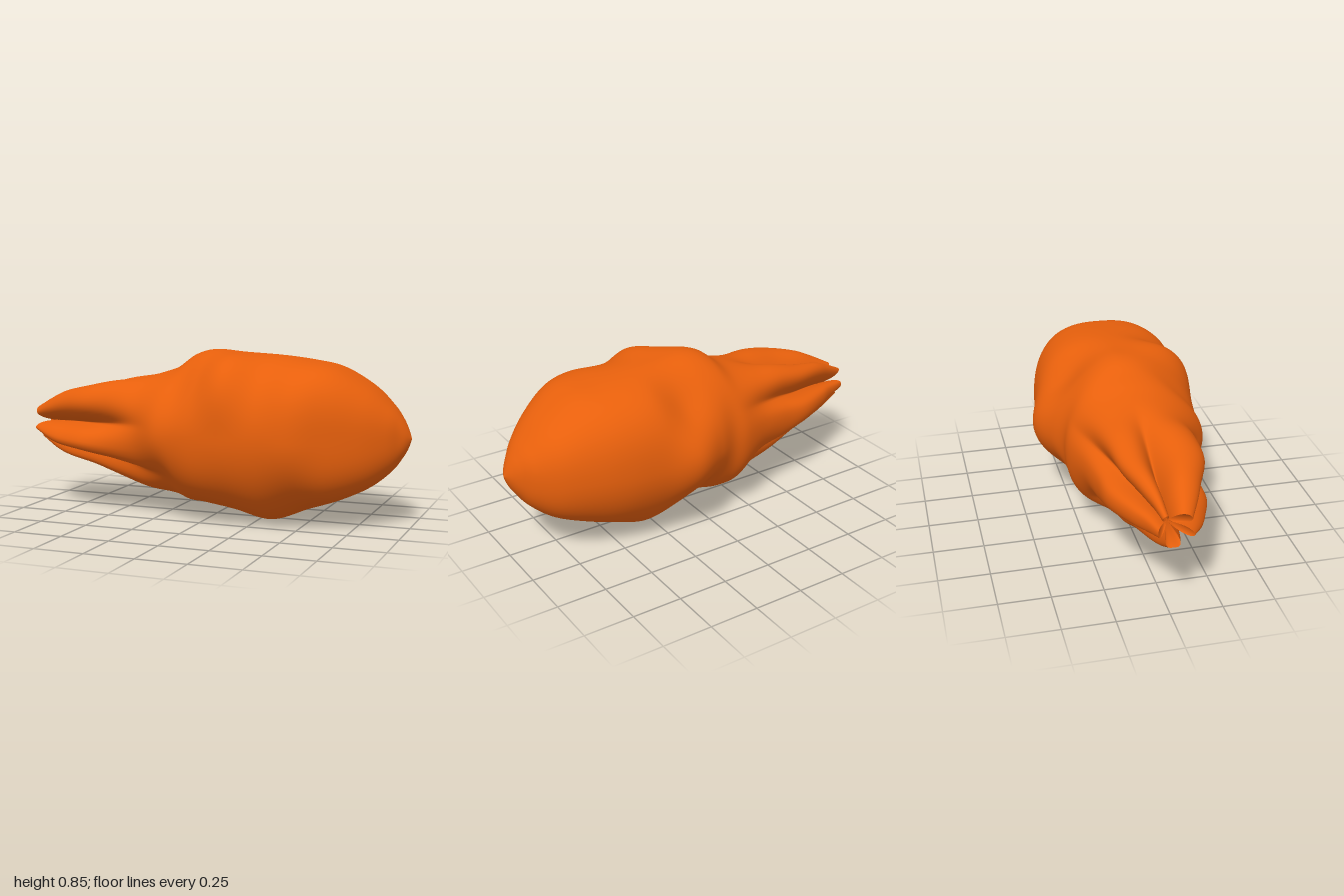
import * as THREE from 'three';

// Outline stations from nose to tail: x, then reach up, down, front (+z) and back (-z) of the axis
const STATIONS = [
  [1.0, 0, 0, 0, 0],
  [0.98, 0.05, 0.055, 0.045, 0.05],
  [0.95, 0.1, 0.105, 0.085, 0.1],
  [0.9, 0.16, 0.17, 0.15, 0.17],
  [0.8, 0.25, 0.25, 0.24, 0.255],
  [0.65, 0.335, 0.32, 0.335, 0.32],
  [0.5, 0.365, 0.375, 0.405, 0.36],
  [0.32, 0.385, 0.44, 0.4, 0.385],
  [0.15, 0.395, 0.4, 0.405, 0.42],
  [0.0, 0.405, 0.37, 0.395, 0.36],
  [-0.1, 0.38, 0.37, 0.385, 0.315],
  [-0.2, 0.31, 0.345, 0.38, 0.31],
  [-0.35, 0.265, 0.32, 0.3, 0.26],
  [-0.5, 0.235, 0.26, 0.265, 0.225],
  [-0.65, 0.2, 0.195, 0.25, 0.205],
  [-0.8, 0.17, 0.16, 0.19, 0.145],
  [-0.9, 0.13, 0.13, 0.15, 0.095],
  [-1.0, 0.08, 0.08, 0.1, 0.06],
];
// Swellings and hollows at the same stations: upper front, upper back, lower back, lower front
const SWELLS = [
  [0, 0, 0, 0],
  [0, 0, 0, 0],
  [0.005, 0.005, 0.005, 0.005],
  [0.01, 0.01, 0.01, 0.01],
  [0.02, 0.015, 0.01, 0.02],
  [0.035, 0.015, 0.005, 0.025],
  [0.03, 0.02, 0, 0],
  [0.01, 0.01, -0.02, 0],
  [0.05, -0.055, -0.04, 0.01],
  [-0.005, -0.025, -0.04, 0.02],
  [-0.025, 0, 0, 0],
  [-0.005, 0.01, 0.01, -0.03],
  [0.01, 0.02, -0.02, -0.005],
  [0.035, 0.025, 0, 0.02],
  [0.04, 0.02, 0, 0.05],
  [0.03, 0.015, 0, 0.06],
  [0.02, 0.01, 0, 0.045],
  [0.01, 0.005, 0, 0.02],
];
const AXIS_Y = 0.44;
// Grooves between the tongues: degrees from +z towards +y, and the -x where each begins
const GROOVES = [[8, 0.2], [88, 0.25], [152, 0.1], [225, 0.15], [312, 0.08]];
const SIDES = 144, STEPS = 7;

// Smooth curve through the rows of a table
function rowAt(table, t) {
  const last = table.length - 1;
  const i = Math.min(Math.floor(t), last - 1), f = t - i;
  const p = (k) => table[THREE.MathUtils.clamp(k, 0, last)];
  return table[0].map((_, c) => {
    const a = p(i - 1)[c], b = p(i)[c], d = p(i + 1)[c], e = p(i + 2)[c];
    return b + 0.5 * f * (d - a + f * (2 * a - 5 * b + 4 * d - e + f * (3 * (b - d) + e - a)));
  });
}

// Depth of the deepest groove at an angle and station, 0 to 1
function grooveAt(phi, x) {
  let g = 0;
  for (const [deg, start] of GROOVES) {
    const d = phi - THREE.MathUtils.degToRad(deg);
    const wrapped = Math.atan2(Math.sin(d), Math.cos(d));
    const grow = THREE.MathUtils.smoothstep(-x, start, 0.98);
    g = Math.max(g, grow * Math.exp(-Math.pow(Math.abs(wrapped) / 0.21, 1.6)));
  }
  return g;
}

function flamePoint(t, phi) {
  const [x, up, down, front, back] = rowAt(STATIONS, t);
  const c = Math.cos(phi), s = Math.sin(phi);
  const quarter = Math.min(3, Math.floor(phi / (Math.PI / 2)));
  const swell = rowAt(SWELLS, t)[quarter] * Math.pow(Math.sin(2 * phi), 2) * 1.15;
  const g = grooveAt(phi, x);
  const cut = (1 + 0.05 * THREE.MathUtils.smoothstep(-x, 0.2, 0.6)) * (1 - 0.85 * g);
  const notch = 0.08 * g * THREE.MathUtils.smoothstep(-x, 0.85, 1);
  return [
    x + notch,
    AXIS_Y + cut * s * ((s > 0 ? up : down) + swell),
    cut * c * ((c > 0 ? front : back) + swell),
  ];
}

function flameGeometry() {
  const rings = (STATIONS.length - 1) * STEPS;
  const pos = [], index = [];
  for (let i = 0; i <= rings; i++) {
    const t = Math.max(i / STEPS, 0.01);
    for (let j = 0; j < SIDES; j++) pos.push(...flamePoint(t, (j / SIDES) * Math.PI * 2));
  }
  for (let i = 0; i < rings; i++) {
    for (let j = 0; j < SIDES; j++) {
      const k = (j + 1) % SIDES;
      const a = i * SIDES + j, b = i * SIDES + k;
      index.push(a, b, a + SIDES, b, b + SIDES, a + SIDES);
    }
  }
  // nose tip, and a hollow between the tongues at the tail
  const nose = pos.length / 3;
  pos.push(1, AXIS_Y, 0);
  const rim = rings * SIDES, inner = nose + 1;
  for (let j = 0; j < SIDES; j++) pos.push(...[0, 1, 2].map((c) => pos[(rim + j) * 3 + c]));
  const hollow = pos.length / 3;
  pos.push(-0.88, AXIS_Y, 0);
  for (let j = 0; j < SIDES; j++) {
    const k = (j + 1) % SIDES;
    index.push(nose, k, j, inner + j, inner + k, hollow);
  }
  const geometry = new THREE.BufferGeometry();
  geometry.setAttribute('position', new THREE.Float32BufferAttribute(pos, 3));
  geometry.setIndex(index);
  geometry.computeVertexNormals();
  return geometry;
}

export function createModel() {
  const group = new THREE.Group();
  group.name = 'flame';
  const orange = new THREE.MeshStandardMaterial({ color: 0xe8600c, side: THREE.DoubleSide });
  orange.name = 'flame orange';
  const body = new THREE.Mesh(flameGeometry(), orange);
  body.name = 'flameBody';
  group.add(body);
  return group;
}
